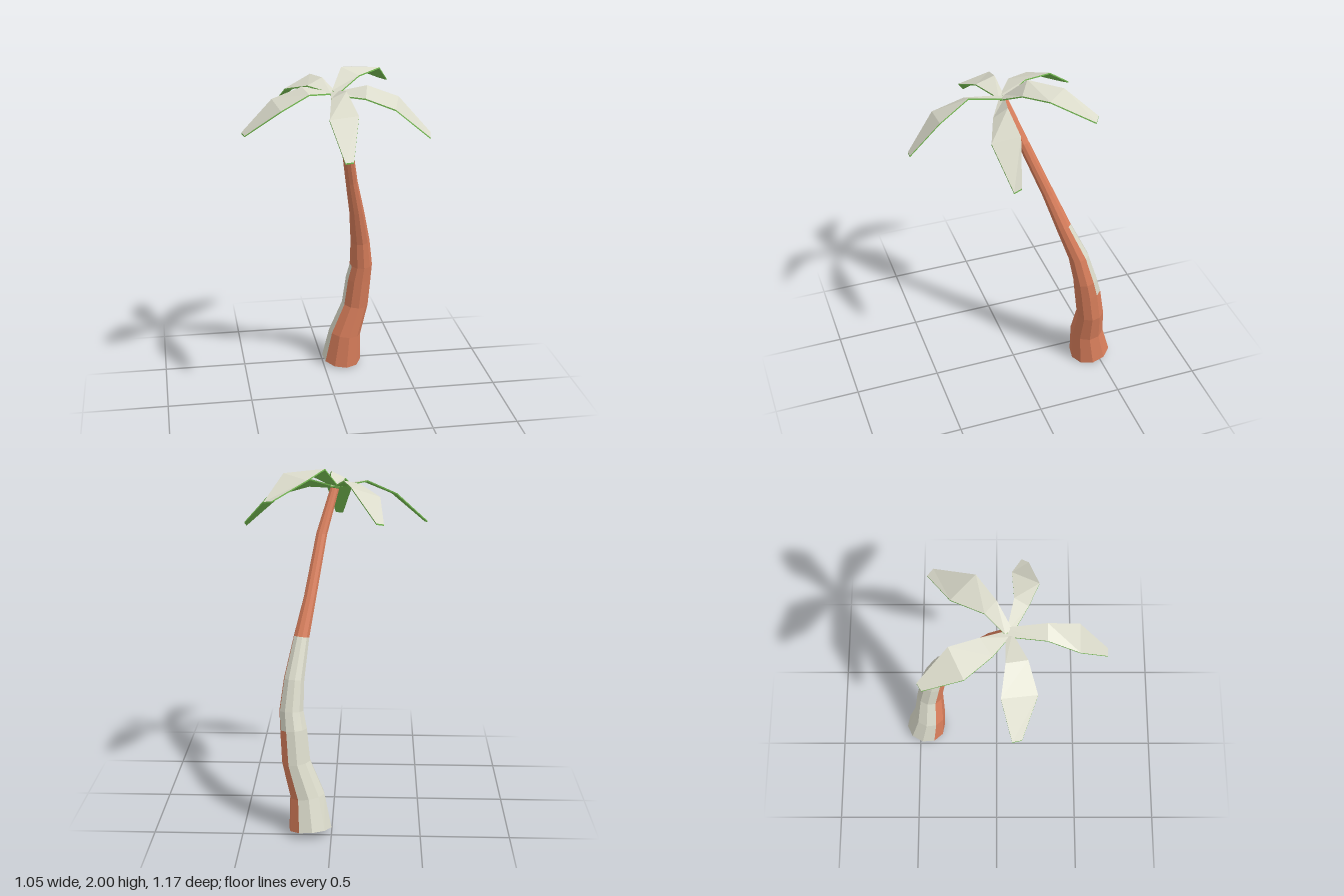
import * as THREE from 'three';

const mat = (name, color) => {
  const m = new THREE.MeshStandardMaterial({ color, side: THREE.DoubleSide });
  m.name = name;
  return m;
};

// Flat-shaded mesh from a list of polygons (each a fan of counter-clockwise points)
function facetMesh(name, polys, material) {
  const pos = [];
  for (const p of polys)
    for (let i = 1; i < p.length - 1; i++) pos.push(...p[0], ...p[i], ...p[i + 1]);
  const geo = new THREE.BufferGeometry();
  geo.setAttribute('position', new THREE.Float32BufferAttribute(pos, 3));
  geo.computeVertexNormals();
  const mesh = new THREE.Mesh(geo, material);
  mesh.name = name;
  return mesh;
}

// Trunk rings: x, y, z, radius
const RINGS = [
  [0.12, 0.027, -0.463, 0.122],
  [0.138, 0.22, -0.432, 0.099],
  [0.2, 0.415, -0.42, 0.081],
  [0.215, 0.6, -0.39, 0.077],
  [0.227, 0.7, -0.367, 0.069],
  [0.213, 0.87, -0.325, 0.058],
  [0.175, 1.09, -0.237, 0.044],
  [0.13, 1.3, -0.16, 0.035],
  [0.07, 1.63, -0.03, 0.031],
  [0.0, 1.872, 0.056, 0.025],
];
// First and last snowy facet of each trunk segment (facet 0 starts at the front and runs towards +x)
const SNOWY = [[4, 7], [4, 7], [4, 7], [3, 7], [3, 6], [3, 6]];
const SIDES = 10;
const TWIST = 0.14;

// Hollow trunk, open at the foot, with snow lying on its back
function makeTrunk(bark, snow) {
  const rings = RINGS.map(([x, y, z, r], i) => {
    // tilt each ring square to the leaning path
    const a = RINGS[Math.max(i - 1, 0)], b = RINGS[Math.min(i + 1, RINGS.length - 1)];
    const sx = i ? 0.6 * (b[0] - a[0]) / (b[1] - a[1]) : 0.08;
    const sz = i ? 0.6 * (b[2] - a[2]) / (b[1] - a[1]) : 0.2;
    return Array.from({ length: SIDES }, (_, k) => {
      const t = TWIST + (k / SIDES) * Math.PI * 2;
      const dx = r * Math.sin(t), dz = r * Math.cos(t);
      return [x + dx, y - sx * dx - sz * dz, z + dz];
    });
  });
  const barkFaces = [], snowFaces = [];
  for (let i = 0; i < rings.length - 1; i++) {
    const [first, last] = SNOWY[i] ?? [SIDES, SIDES];
    for (let k = 0; k < SIDES; k++) {
      const n = (k + 1) % SIDES;
      const list = k >= first && k <= last ? snowFaces : barkFaces;
      list.push([rings[i][k], rings[i][n], rings[i + 1][n], rings[i + 1][k]]);
    }
  }
  barkFaces.push(rings[rings.length - 1]);
  const g = new THREE.Group();
  g.name = 'trunk';
  g.add(facetMesh('trunkBark', barkFaces, bark), facetMesh('trunkSnow', snowFaces, snow));
  return g;
}

// Fronds: pairs of edge points from root to tip, left then right looking outwards
const FRONDS = {
  frontFrond: [
    [[0.022, 1.89, 0.04], [-0.026, 1.886, 0.04]],
    [[0.027, 1.935, 0.26], [-0.055, 1.897, 0.26]],
    [[0.065, 1.84, 0.43], [-0.09, 1.824, 0.43]],
    [[0.012, 1.638, 0.588], [-0.032, 1.634, 0.588]],
  ],
  rightFrond: [
    [[-0.005, 1.885, 0.08], [-0.04, 1.89, 0.045]],
    [[-0.16, 1.9, 0.16], [-0.185, 1.92, 0.045]],
    [[-0.32, 1.826, 0.21], [-0.35, 1.852, 0.022]],
    [[-0.512, 1.678, 0.13], [-0.525, 1.685, 0.08]],
  ],
  leftFrond: [
    [[0.0, 1.887, 0.05], [0.0, 1.876, 0.085]],
    [[0.17, 1.926, 0.09], [0.15, 1.868, 0.165]],
    [[0.35, 1.855, 0.08], [0.305, 1.815, 0.225]],
    [[0.522, 1.66, 0.135], [0.515, 1.637, 0.175]],
  ],
  backRightFrond: [
    [[-0.03, 1.887, 0.065], [0.0, 1.89, 0.04]],
    [[-0.145, 1.91, -0.02], [-0.055, 1.94, -0.085]],
    [[-0.255, 1.865, -0.165], [-0.1, 1.928, -0.245]],
    [[-0.275, 1.76, -0.385], [-0.235, 1.77, -0.41]],
  ],
  backLeftFrond: [
    [[-0.018, 1.892, 0.045], [0.015, 1.887, 0.08]],
    [[0.05, 2.0, -0.06], [0.14, 1.962, 0.0]],
    [[0.14, 1.965, -0.235], [0.275, 1.982, -0.105]],
    [[0.32, 1.875, -0.36], [0.365, 1.865, -0.33]],
  ],
};
const THICKNESS = 0.008;

// Green leaf blade with a snowy top
function makeFrond(name, stations, green, snow) {
  const low = ([x, y, z]) => [x, y - THICKNESS, z];
  const top = [], under = [];
  for (let i = 0; i < stations.length - 1; i++) {
    const [l0, r0] = stations[i], [l1, r1] = stations[i + 1];
    top.push([l0, r0, r1, l1]);
    under.push([low(l0), low(l1), low(r1), low(r0)]);
    under.push([l0, l1, low(l1), low(l0)], [r1, r0, low(r0), low(r1)]);
  }
  const [lt, rt] = stations[stations.length - 1], [lr, rr] = stations[0];
  under.push([lt, rt, low(rt), low(lt)], [rr, lr, low(lr), low(rr)]);
  const g = new THREE.Group();
  g.name = name;
  g.add(facetMesh(name + 'Snow', top, snow), facetMesh(name + 'Leaf', under, green));
  return g;
}

export function createModel() {
  const bark = mat('bark', 0xda7f5c);
  const snow = mat('snow', 0xdadaca);
  const green = mat('leafGreen', 0x78c054);
  const model = new THREE.Group();
  model.name = 'snowyPalmTree';
  model.add(makeTrunk(bark, snow));
  for (const [name, stations] of Object.entries(FRONDS))
    model.add(makeFrond(name, stations, green, snow));
  return model;
}
